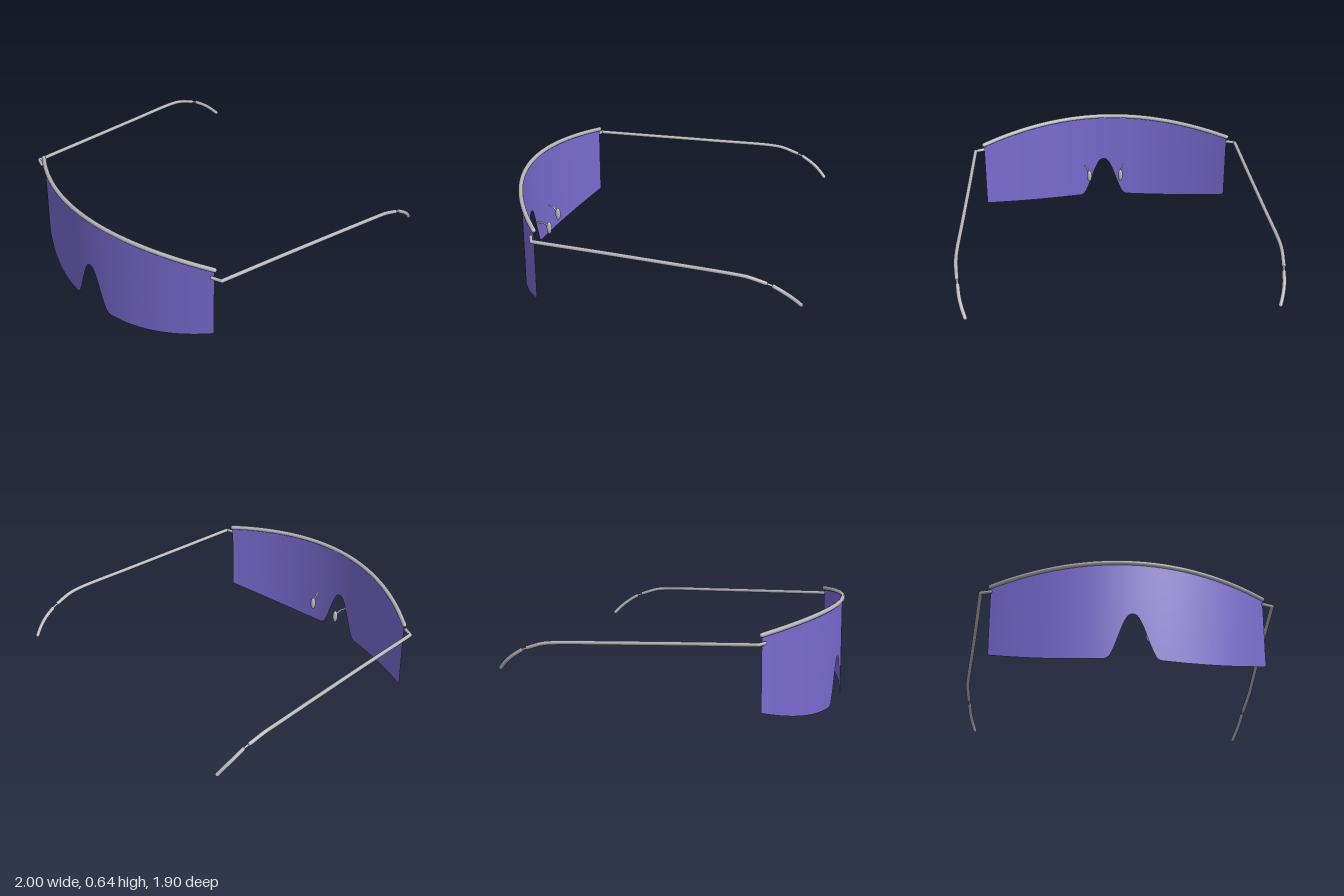
import * as THREE from 'three';

const metal = new THREE.MeshStandardMaterial({ color: 0xb6b4bc });
metal.name = 'silver metal';
const tint = new THREE.MeshStandardMaterial({ color: 0x7a6bd0, side: THREE.DoubleSide });
tint.name = 'violet lens';

const HALF = 0.835;
const shieldZ = (x) => 0.936 - 0.27 * (x / HALF) ** 2;
const browY = (x) => 0.635 - 0.055 * (x / HALF) ** 2;

// Round rod along a smooth path, with rounded ends
function rod(name, points, radius, segments = 24) {
  const group = new THREE.Group();
  group.name = name;
  const path = new THREE.CatmullRomCurve3(points.map((p) => new THREE.Vector3(...p)));
  const bar = new THREE.Mesh(new THREE.TubeGeometry(path, segments, radius, 12), metal);
  bar.name = name + 'Bar';
  group.add(bar);
  for (const p of [points[0], points[points.length - 1]]) {
    const cap = new THREE.Mesh(new THREE.SphereGeometry(radius, 12, 8), metal);
    cap.name = name + 'Cap';
    cap.position.set(...p);
    group.add(cap);
  }
  return group;
}

// Lower edge of the shield: nose notch, flat run, then an upward sweep
const notch = new THREE.SplineCurve([
  [0, 0.297], [0.03, 0.28], [0.06, 0.22], [0.085, 0.15], [0.11, 0.08], [0.135, 0.025], [0.16, 0.005],
].map((p) => new THREE.Vector2(...p))).getPoints(40);

function lowerY(x) {
  const a = Math.abs(x);
  if (a >= 0.16) return 0.005 + 0.115 * (Math.max(0, a - 0.2) / 0.635) ** 2;
  const i = Math.max(1, notch.findIndex((p) => p.x >= a));
  const p = notch[i - 1], q = notch[i];
  return p.y + ((q.y - p.y) * (a - p.x)) / (q.x - p.x);
}

function makeLens() {
  const geo = new THREE.PlaneGeometry(2 * HALF, 1, 167, 6);
  const pos = geo.attributes.position;
  for (let i = 0; i < pos.count; i++) {
    const x = pos.getX(i);
    const t = pos.getY(i) + 0.5;
    const y = THREE.MathUtils.lerp(lowerY(x), browY(x), t);
    pos.setXYZ(i, x, y, shieldZ(x));
  }
  geo.computeVertexNormals();
  const lens = new THREE.Mesh(geo, tint);
  lens.name = 'shieldLens';
  return lens;
}

// Hinge, temple arm, ear tip and nose pad for one side (s = 1 left, -1 right)
function makeSide(s) {
  const side = new THREE.Group();
  side.name = s > 0 ? 'leftSide' : 'rightSide';
  const m = (pts) => pts.map(([x, y, z]) => [s * x, y, z]);

  side.add(rod('hinge', m([[0.835, 0.535, 0.685], [0.862, 0.535, 0.676], [0.895, 0.535, 0.663]]), 0.011, 8));
  side.add(rod('temple', m([
    [0.895, 0.535, 0.66], [0.925, 0.519, 0.24], [0.957, 0.502, -0.18],
    [0.985, 0.486, -0.54], [0.986, 0.475, -0.63], [0.979, 0.441, -0.735],
  ]), 0.0125, 48));
  side.add(rod('tipNeck', m([[0.979, 0.441, -0.73], [0.973, 0.422, -0.785]]), 0.007, 4));
  side.add(rod('earTip', m([
    [0.973, 0.422, -0.78], [0.966, 0.384, -0.84], [0.951, 0.34, -0.895], [0.932, 0.295, -0.938],
  ]), 0.0125, 20));

  // Nose pad on its thin arm
  side.add(rod('padArm', m([[0.112, 0.255, 0.795], [0.122, 0.277, 0.822], [0.135, 0.285, 0.855]]), 0.006, 8));
  const pad = new THREE.Mesh(new THREE.SphereGeometry(0.017, 16, 12), metal);
  pad.name = 'nosePad';
  pad.scale.y = 2.6;
  pad.position.set(s * 0.11, 0.238, 0.787);
  side.add(pad);
  return side;
}

export function createModel() {
  const model = new THREE.Group();
  model.name = 'shieldSunglasses';

  model.add(makeLens());

  // Brow bar along the top of the lens
  const brow = [];
  for (let i = 0; i <= 16; i++) {
    const x = HALF * (i / 8 - 1);
    brow.push([x, browY(x), shieldZ(x)]);
  }
  model.add(rod('browBar', brow, 0.0145, 64));

  for (const s of [1, -1]) model.add(makeSide(s));
  return model;
}
